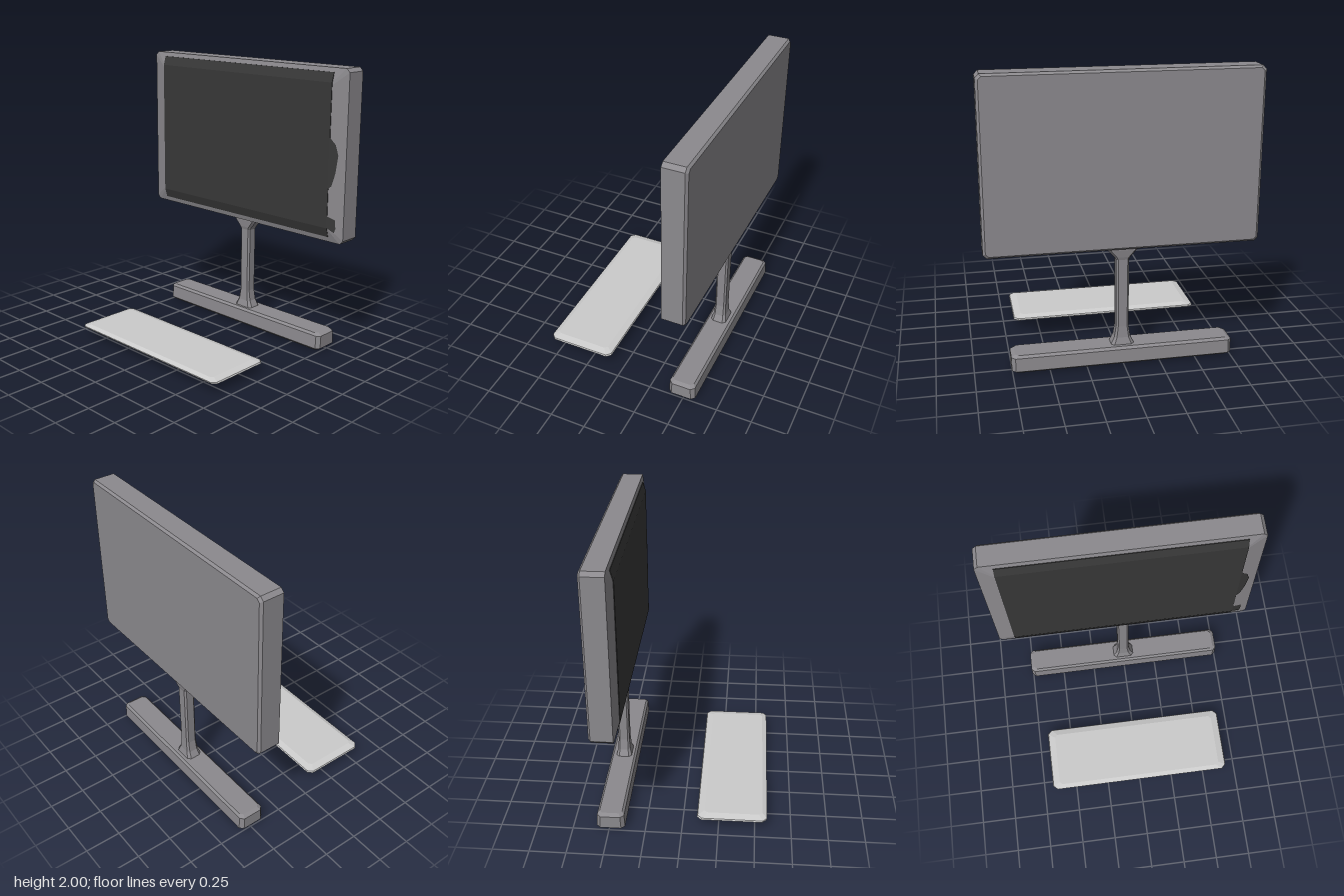
import * as THREE from 'three';

const material = (color, extra = {}) =>
  new THREE.MeshStandardMaterial({ color, flatShading: true, ...extra });

// Closed loft through chamfered rectangles: [level, halfWidth, vMin, vMax, cornerCut], levels rising
function loft(rings) {
  const pos = [], index = [];
  const n = 8;
  for (const [w, h, v0, v1, c] of rings) {
    const loop = [
      [h - c, v0], [h, v0 + c], [h, v1 - c], [h - c, v1],
      [-h + c, v1], [-h, v1 - c], [-h, v0 + c], [-h + c, v0],
    ];
    for (const [u, v] of loop) pos.push(u, v, w);
  }
  for (let r = 0; r < rings.length - 1; r++) {
    for (let i = 0; i < n; i++) {
      const a = r * n + i, b = r * n + (i + 1) % n;
      index.push(a, b, b + n, a, b + n, a + n);
    }
  }
  const top = (rings.length - 1) * n;
  for (let i = 1; i < n - 1; i++) {
    index.push(0, i + 1, i, top, top + i, top + i + 1);
  }
  const geo = new THREE.BufferGeometry();
  geo.setAttribute('position', new THREE.Float32BufferAttribute(pos, 3));
  geo.setIndex(index);
  geo.computeVertexNormals();
  return geo;
}

// Same loft stacked upwards: [y, halfWidth, zBack, zFront, cornerCut]
function loftUp(rings) {
  const flipped = rings.map(([y, h, z0, z1, c]) => [y, h, -z1, -z0, c]);
  return loft(flipped).rotateX(-Math.PI / 2);
}

export function createModel() {
  const group = new THREE.Group();
  const body = material(0x8c8a8e);
  const dark = material(0x383838, { side: THREE.DoubleSide });
  const light = material(0xbcbcbc);

  const add = (name, geometry, mat) => {
    const mesh = new THREE.Mesh(geometry, mat);
    mesh.name = name;
    group.add(mesh);
    return mesh;
  };

  // Monitor housing with bevelled front
  add('monitorHousing', loft([
    [-0.57, 0.895, 0.84, 1.985, 0.02],
    [-0.555, 0.912, 0.825, 2.0, 0.025],
    [-0.41, 0.912, 0.825, 2.0, 0.025],
    [-0.383, 0.8, 0.925, 1.9, 0.01],
  ]), body);

  // Dark screen wrapping onto the upper and lower bevels
  add('screen', loft([
    [-0.41, 0.795, 0.86, 1.97, 0.002],
    [-0.398, 0.797, 0.86, 1.97, 0.002],
    [-0.379, 0.797, 0.925, 1.905, 0.002],
  ]), dark);

  // Dark spill of the screen onto the side bevel
  const patches = [
    [[0.795, 1.55], [0.795, 1.2], [0.82, 1.22], [0.845, 1.31], [0.86, 1.43], [0.84, 1.5]],
    [[0.795, 1.01], [0.795, 0.93], [0.85, 0.9], [0.86, 0.93], [0.855, 0.99]],
  ];
  for (const points of patches) {
    const shape = new THREE.Shape(points.map(([x, y]) => new THREE.Vector2(x, y)));
    const geo = new THREE.ShapeGeometry(shape);
    const p = geo.attributes.position;
    for (let i = 0; i < p.count; i++) p.setZ(i, -0.379 - (p.getX(i) - 0.8) * 0.24);
    geo.computeVertexNormals();
    add('screenEdge', geo, dark);
  }

  // Slim post flaring into the monitor and the foot
  add('post', loftUp([
    [0.11, 0.085, -0.545, -0.425, 0.02],
    [0.14, 0.075, -0.54, -0.43, 0.02],
    [0.18, 0.055, -0.53, -0.44, 0.015],
    [0.26, 0.042, -0.525, -0.445, 0.012],
    [0.74, 0.044, -0.525, -0.445, 0.012],
    [0.76, 0.055, -0.53, -0.44, 0.015],
    [0.81, 0.1, -0.537, -0.435, 0.02],
    [0.84, 0.105, -0.537, -0.435, 0.02],
  ]), body);

  // Long bar foot
  add('foot', loftUp([
    [0, 0.725, -0.555, -0.415, 0.02],
    [0.022, 0.755, -0.585, -0.39, 0.025],
    [0.115, 0.755, -0.58, -0.395, 0.025],
    [0.132, 0.73, -0.565, -0.41, 0.02],
  ]), body);

  // Thin keyboard slab lying in front
  add('keyboard', loftUp([
    [0.055, 0.65, 0.125, 0.56, 0.02],
    [0.068, 0.68, 0.1, 0.58, 0.03],
    [0.078, 0.675, 0.105, 0.583, 0.03],
    [0.091, 0.625, 0.15, 0.55, 0.02],
  ]), light);

  return group;
}
